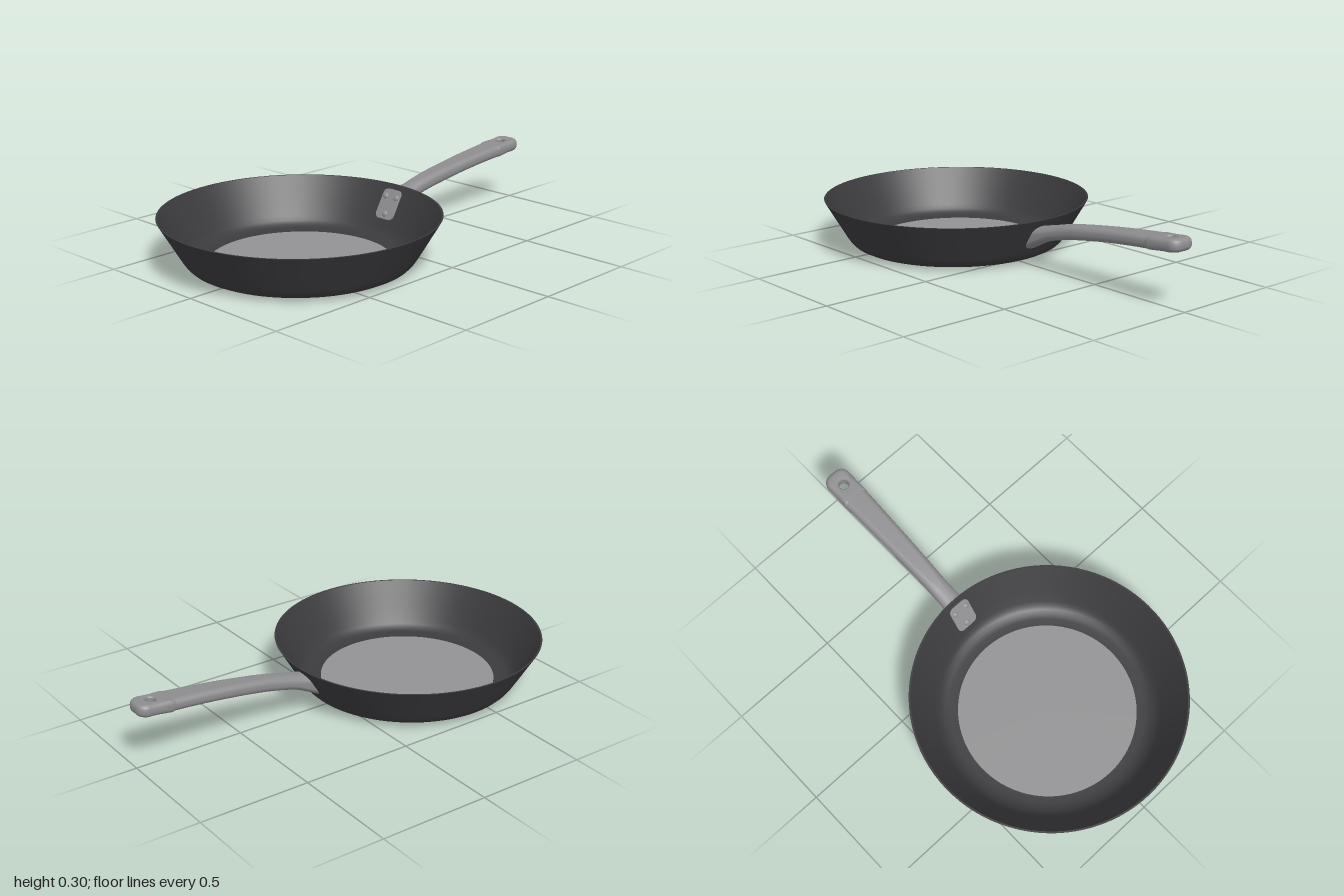
import * as THREE from 'three';

const panMaterial = new THREE.MeshStandardMaterial({ color: 0x3b3a3d });
panMaterial.name = 'dark pan coating';
const steelMaterial = new THREE.MeshStandardMaterial({ color: 0x8d8d90 });
steelMaterial.name = 'handle steel';
const discMaterial = new THREE.MeshStandardMaterial({ color: 0x929294 });
discMaterial.name = 'base grey';

const PAN_X = -0.4;
const v2 = (points) => points.map(([x, y]) => new THREE.Vector2(x, y));

function addMesh(parent, name, geometry, material) {
  const mesh = new THREE.Mesh(geometry, material);
  mesh.name = name;
  parent.add(mesh);
  return mesh;
}

// Rounded rectangle outline, counter-clockwise, starting on the right side
function roundedSection(w, h, r, steps = 6) {
  const points = [];
  [[1, 1], [-1, 1], [-1, -1], [1, -1]].forEach(([sx, sy], corner) => {
    for (let i = 0; i <= steps; i++) {
      const a = (corner + i / steps) * Math.PI / 2;
      points.push([sx * (w - r) + r * Math.cos(a), sy * (h - r) + r * Math.sin(a)]);
    }
  });
  return points;
}

// Smooth skin over rings of points; every ring is a closed loop
function skin(rings, closed) {
  const n = rings[0].length, index = [];
  const last = closed ? rings.length : rings.length - 1;
  for (let i = 0; i < last; i++) {
    for (let k = 0; k < n; k++) {
      const a = i * n + k, b = i * n + (k + 1) % n;
      const j = (i + 1) % rings.length;
      const c = j * n + k, d = j * n + (k + 1) % n;
      index.push(a, c, b, c, d, b);
    }
  }
  const geometry = new THREE.BufferGeometry();
  geometry.setAttribute('position', new THREE.Float32BufferAttribute(rings.flat(2), 3));
  geometry.setIndex(index);
  geometry.computeVertexNormals();
  return geometry;
}

// Handle shaft: sections spanned between a lower and an upper curve (z holds the half width)
function shaftGeometry() {
  const curve = (points) => new THREE.CatmullRomCurve3(points.map((p) => new THREE.Vector3(...p)));
  const lower = curve([[0.112, 0.075, 0.052], [0.16, 0.1, 0.048], [0.22, 0.128, 0.045], [0.3, 0.152, 0.044],
    [0.4, 0.175, 0.046], [0.6, 0.207, 0.052], [0.75, 0.224, 0.056], [0.87, 0.235, 0.06]]);
  const upper = curve([[0.182, 0.19, 0], [0.215, 0.197, 0], [0.265, 0.209, 0], [0.32, 0.222, 0],
    [0.403, 0.237, 0], [0.603, 0.264, 0], [0.753, 0.28, 0], [0.873, 0.29, 0]]);
  const rings = [];
  for (let i = 0; i <= 35; i++) {
    const b = lower.getPoint(i / 35), t = upper.getPoint(i / 35);
    const h = Math.hypot(t.x - b.x, t.y - b.y) / 2;
    rings.push(roundedSection(b.z, h, Math.min(h, b.z) * 0.85).map(([z, y]) => {
      const f = (y / h + 1) / 2;
      return [b.x + (t.x - b.x) * f, b.y + (t.y - b.y) * f, z];
    }));
  }
  return skin(rings, false);
}

// Handle tip: a ring around the hanging hole whose outer edge follows the handle outline
function tipGeometry() {
  const h = 0.0275, hole = 0.022, left = 0.09, right = 0.078, halfWidth = 0.06, corner = 0.042;
  const inside = (x, z) => {
    if (x < -left || x > right || Math.abs(z) > halfWidth) return false;
    const dx = x - (right - corner), dz = Math.abs(z) - (halfWidth - corner);
    return dx < 0 || dz < 0 || Math.hypot(dx, dz) <= corner;
  };
  const rings = [];
  for (let i = 0; i < 72; i++) {
    const a = i / 72 * Math.PI * 2, c = Math.cos(a), s = -Math.sin(a);
    let near = 0, far = 0.2;
    for (let k = 0; k < 24; k++) {
      const mid = (near + far) / 2;
      if (inside(mid * c, mid * s)) near = mid; else far = mid;
    }
    const r = 0.0234, profile = [];
    for (let k = 0; k <= 10; k++) {
      const q = (k / 10 - 0.5) * Math.PI;
      profile.push([near - r + r * Math.cos(q), Math.sign(Math.sin(q)) * (h - r) + r * Math.sin(q)]);
    }
    profile.push([hole + 0.006, h], [hole + 0.001, h - 0.004], [hole, h - 0.009],
      [hole, 0.009 - h], [hole + 0.001, 0.004 - h], [hole + 0.006, -h]);
    rings.push(profile.map(([d, y]) => [d * c, y, d * s]));
  }
  return skin(rings, true);
}

export function createModel() {
  const model = new THREE.Group();
  model.name = 'fryingPan';

  // Pan body: outer wall, rim and inner wall
  const pan = new THREE.Group();
  pan.name = 'panBody';
  pan.position.x = PAN_X;
  model.add(pan);
  const profiles = {
    outerWall: [[0.39, 0.004], [0.43, 0.006], [0.455, 0.011], [0.475, 0.021], [0.49, 0.036],
      [0.502, 0.054], [0.53, 0.101], [0.565, 0.161], [0.6, 0.22]],
    rim: [[0.6, 0.22], [0.592, 0.22]],
    innerWall: [[0.592, 0.22], [0.557, 0.161], [0.522, 0.101], [0.494, 0.056], [0.481, 0.038],
      [0.466, 0.025], [0.448, 0.017], [0.425, 0.013], [0.39, 0.012]],
  };
  for (const [name, points] of Object.entries(profiles)) {
    addMesh(pan, name, new THREE.LatheGeometry(v2(points), 96), panMaterial);
  }

  // Flat cooking surface and base
  const disc = addMesh(pan, 'baseDisc', new THREE.CylinderGeometry(0.393, 0.393, 0.013, 96), discMaterial);
  disc.position.y = 0.0065;

  // Handle with hanging hole
  const handle = new THREE.Group();
  handle.name = 'handle';
  model.add(handle);
  addMesh(handle, 'handleShaft', shaftGeometry(), steelMaterial);
  const tip = addMesh(handle, 'handleTip', tipGeometry(), steelMaterial);
  tip.position.set(0.919, 0.2668, 0);
  tip.rotation.z = 0.085;

  // Riveted plate lying on the inner wall
  const mount = new THREE.Group();
  mount.name = 'rivetPlate';
  const up = new THREE.Vector3(0.51, 0.86, 0).normalize();
  const inward = new THREE.Vector3(-up.y, up.x, 0);
  mount.applyMatrix4(new THREE.Matrix4().makeBasis(new THREE.Vector3(0, 0, 1), up, inward));
  mount.position.set(PAN_X + 0.544, 0.139, 0);
  model.add(mount);
  const plateShape = new THREE.Shape(v2(roundedSection(0.05, 0.068, 0.022)));
  const plate = addMesh(mount, 'plate', new THREE.ExtrudeGeometry(plateShape, {
    depth: 0.008, bevelThickness: 0.002, bevelSize: 0.002, bevelSegments: 2,
  }), steelMaterial);
  plate.position.z = -0.002;
  for (const [x, y] of [[0, -0.045], [-0.031, 0.035], [0.031, 0.035]]) {
    const rivet = addMesh(mount, 'rivet',
      new THREE.SphereGeometry(0.014, 20, 8, 0, Math.PI * 2, 0, Math.PI / 2), steelMaterial);
    rivet.rotation.x = Math.PI / 2;
    rivet.scale.y = 0.5;
    rivet.position.set(x, y, 0.008);
  }
  return model;
}
